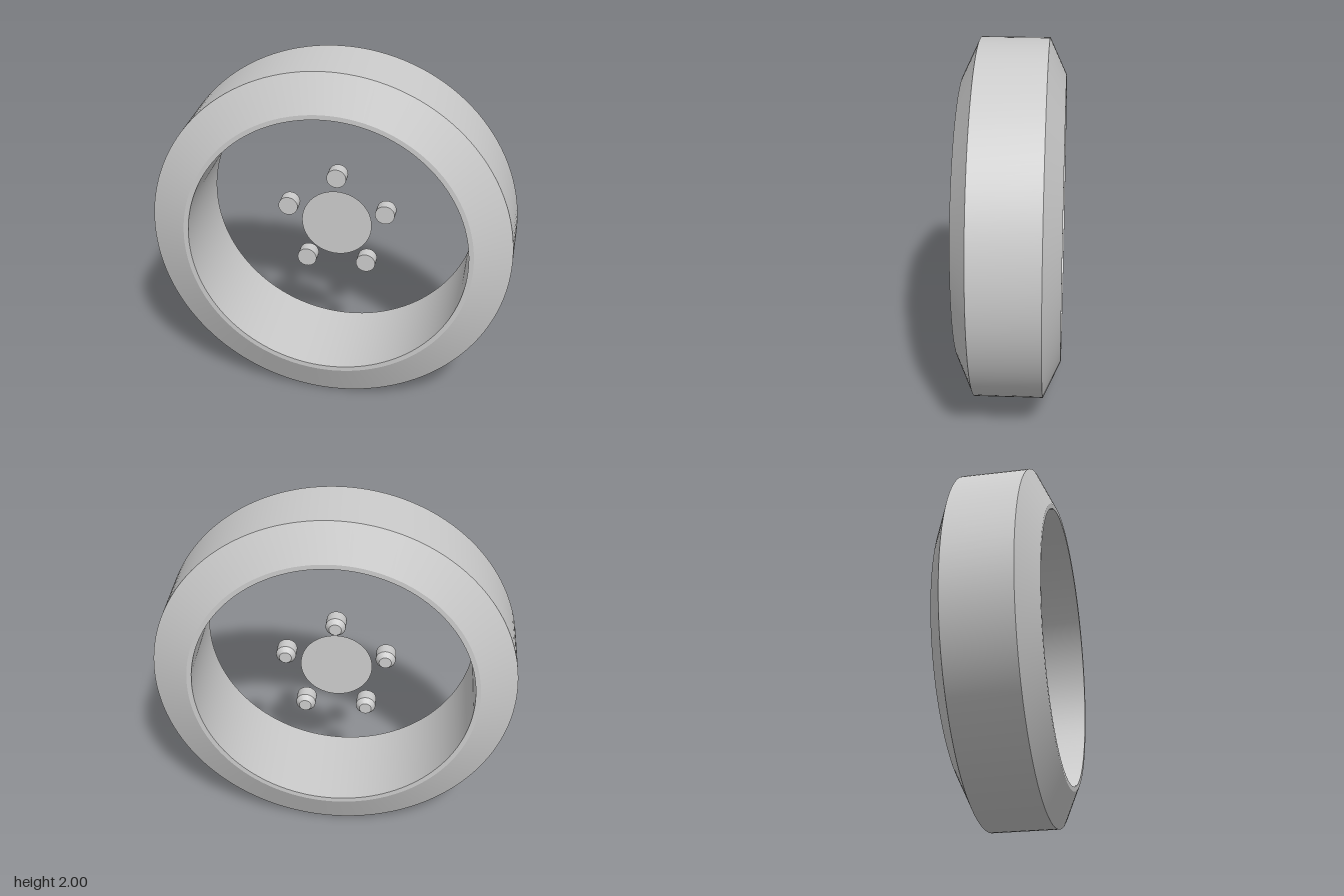
import * as THREE from 'three';
import { toCreasedNormals } from 'three/addons/utils/BufferGeometryUtils.js';

const CENTRE_Y = 1;

// Turns an (r, z) profile around the wheel axis, keeping its edges sharp
function turned(profile, segments) {
  const points = profile.map(([r, z]) => new THREE.Vector2(r, z));
  const geometry = new THREE.LatheGeometry(points, segments);
  geometry.rotateX(Math.PI / 2);
  return toCreasedNormals(geometry, 0.4);
}

export function createModel() {
  const group = new THREE.Group();
  const material = new THREE.MeshStandardMaterial({ color: 0xcccccc });

  // Tyre: wide ring with bevelled shoulders and a narrow flat lip on each side
  const tyre = new THREE.Mesh(turned([
    [0.773, -0.28], [0.8, -0.28], [1, -0.187], [1, 0.187],
    [0.8, 0.28], [0.773, 0.28], [0.773, -0.28],
  ], 128), material);
  tyre.name = 'tyre';
  tyre.position.y = CENTRE_Y;
  group.add(tyre);

  // Hub: flat disc seen from both sides
  const discMaterial = material.clone();
  discMaterial.side = THREE.DoubleSide;
  const hub = new THREE.Mesh(new THREE.CircleGeometry(0.2, 64), discMaterial);
  hub.name = 'hubDisc';
  hub.position.set(0, CENTRE_Y, -0.03);
  group.add(hub);

  // Five wheel bolts, flat in front and bevelled at the back
  const boltGeometry = turned([
    [0, -0.11], [0.034, -0.11], [0.055, -0.08], [0.055, -0.01], [0, -0.01],
  ], 32);
  const bolts = new THREE.Group();
  bolts.name = 'wheelBolts';
  for (let i = 0; i < 5; i++) {
    const angle = Math.PI / 2 + (i * Math.PI * 2) / 5;
    const bolt = new THREE.Mesh(boltGeometry, material);
    bolt.name = `wheelBolt${i + 1}`;
    bolt.position.set(0.29 * Math.cos(angle), CENTRE_Y + 0.29 * Math.sin(angle), 0);
    bolts.add(bolt);
  }
  group.add(bolts);

  return group;
}
